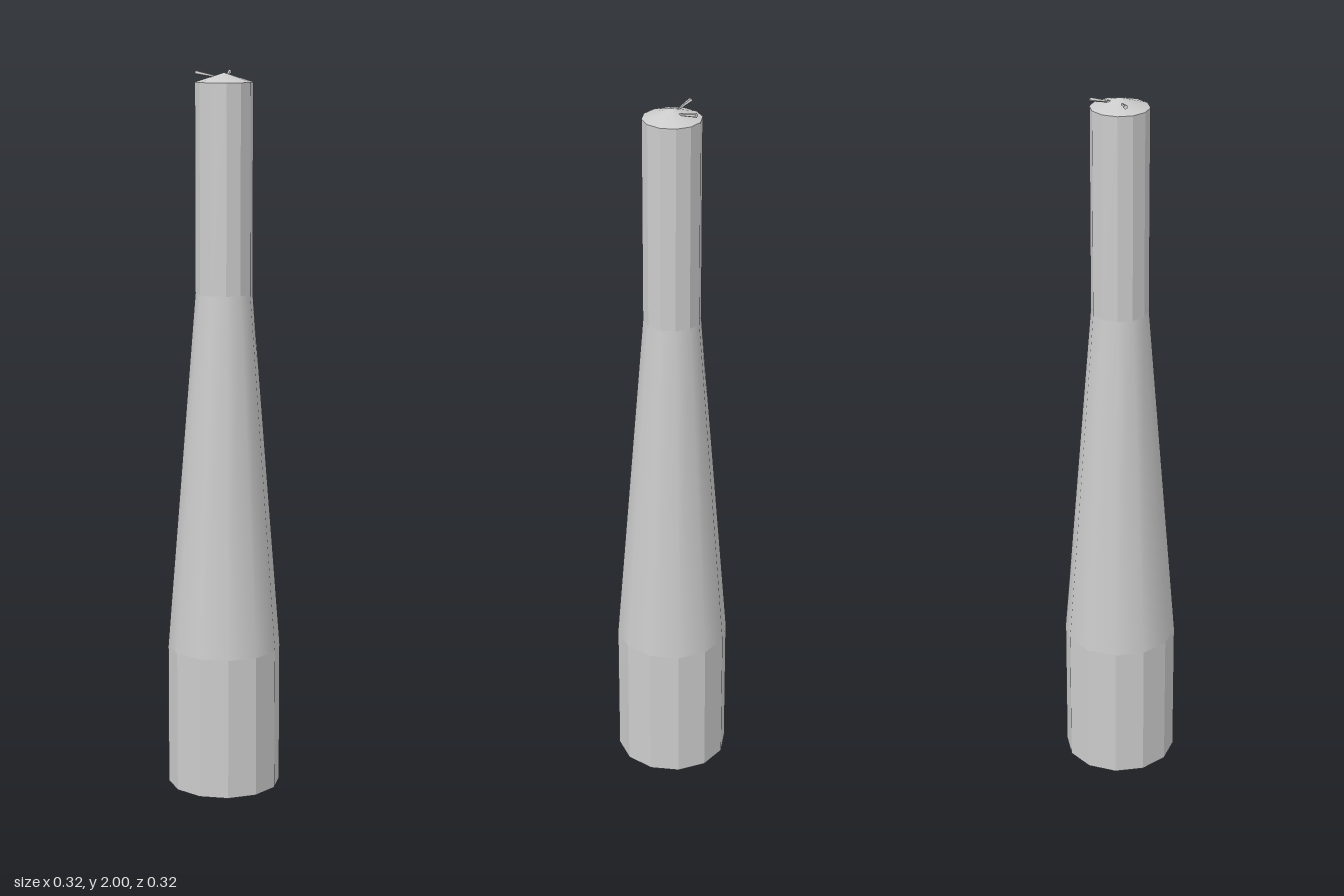
import * as THREE from 'three';

const SIDES = 12;
const BASE_R = 0.158, TOP_R = 0.079;

export function createModel() {
  const group = new THREE.Group();
  const smooth = new THREE.MeshStandardMaterial({ color: 0xcccccc });
  const flat = new THREE.MeshStandardMaterial({ color: 0xcccccc, flatShading: true });

  function add(name, geometry, material) {
    const mesh = new THREE.Mesh(geometry, material);
    mesh.name = name;
    group.add(mesh);
    return mesh;
  }

  // One stacked, open-ended section of the column
  function section(name, rTop, rBottom, y0, y1, material) {
    const geometry = new THREE.CylinderGeometry(rTop, rBottom, y1 - y0, SIDES, 1, true);
    add(name, geometry, material).position.y = (y0 + y1) / 2;
  }

  section('base', BASE_R, BASE_R, 0, 0.4, flat);
  section('taper', TOP_R, BASE_R, 0.4, 1.4, smooth);
  section('neck', TOP_R, TOP_R, 1.4, 1.97, flat);
  section('cap', 0, TOP_R, 1.97, 1.995, smooth);

  // Underside, with a corner facing the front like the sections
  const bottom = add('underside', new THREE.CircleGeometry(BASE_R, SIDES), flat);
  bottom.rotation.x = Math.PI / 2;

  // Two thin spikes flaring out from the cap towards the back corners
  const up = new THREE.Vector3(0, 1, 0);
  for (const side of [-1, 1]) {
    const start = new THREE.Vector3(side * 0.012, 1.983, -0.01);
    const end = new THREE.Vector3(side * 0.056, 1.995, -0.055);
    const direction = end.clone().sub(start);
    const geometry = new THREE.CylinderGeometry(0.006, 0.002, direction.length(), 5);
    const spike = add(side > 0 ? 'leftSpike' : 'rightSpike', geometry, flat);
    spike.position.copy(start).lerp(end, 0.5);
    spike.quaternion.setFromUnitVectors(up, direction.normalize());
  }

  return group;
}
